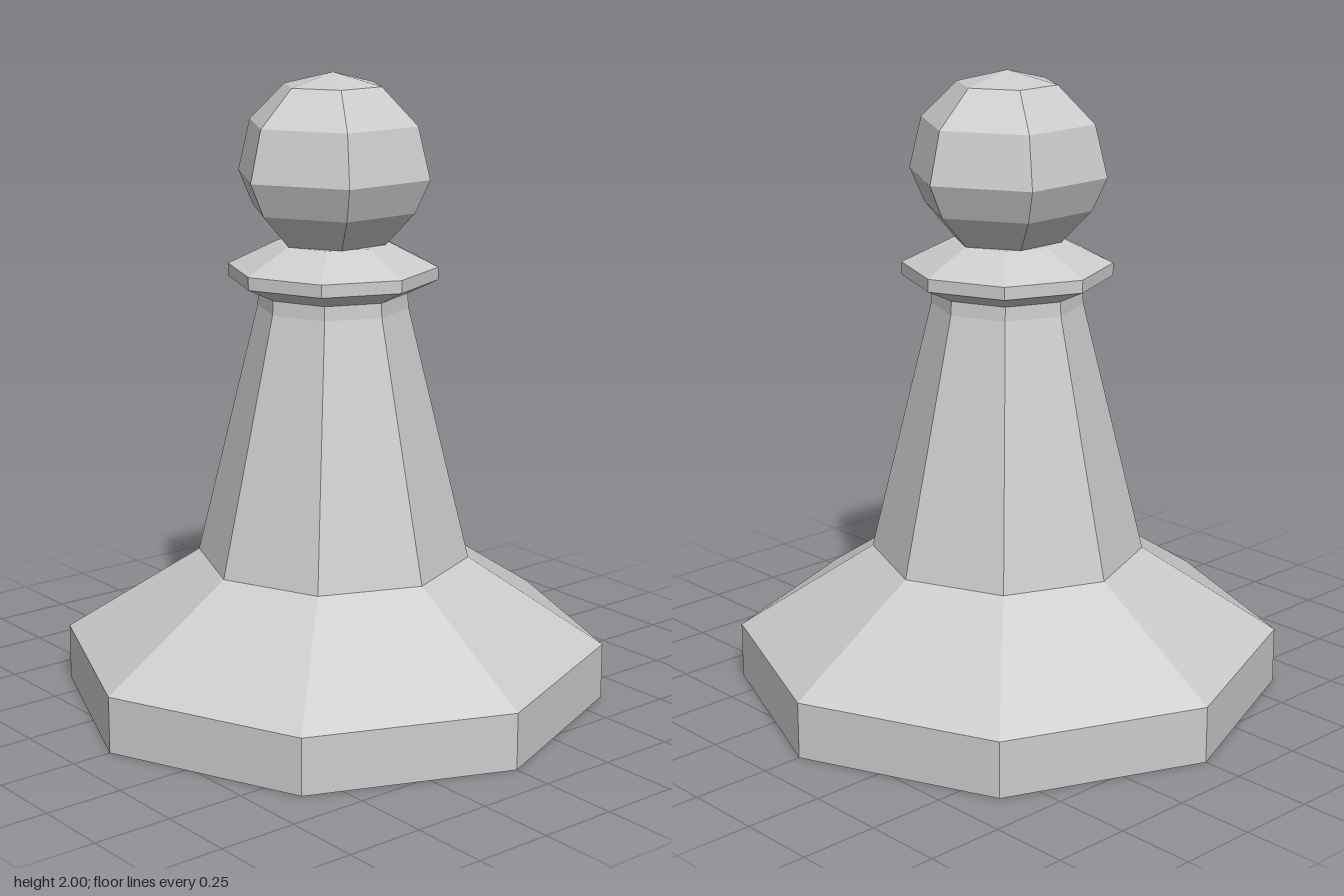
import * as THREE from 'three';

export function createModel() {
  const model = new THREE.Group();
  model.name = 'pawn';
  const stone = new THREE.MeshStandardMaterial({ color: 0xcccccc, flatShading: true });
  stone.name = 'light grey';

  // Faceted turned part from [radius, height] pairs, bottom to top, with a corner on the x axis
  function turned(name, sides, profile) {
    const points = profile.map(([r, y]) => new THREE.Vector2(r, y));
    const mesh = new THREE.Mesh(new THREE.LatheGeometry(points, sides, Math.PI / 2), stone);
    mesh.name = name;
    model.add(mesh);
  }

  // Octagonal foot with sloped shoulder
  turned('base', 8, [[0, 0], [0.87, 0], [0.87, 0.18], [0.435, 0.46]]);

  // Tapering shaft ending in a short straight neck
  turned('shaft', 8, [[0.435, 0.46], [0.238, 1.27], [0.235, 1.315]]);

  // Collar ring under the head
  turned('collar', 8, [[0.235, 1.315], [0.33, 1.36], [0.33, 1.4], [0.178, 1.475], [0, 1.475]]);

  // Six-sided ball, its lower end meeting the collar
  turned('head', 6, [[0.175, 1.475], [0.27, 1.578], [0.318, 1.683],
    [0.278, 1.845], [0.16, 1.96], [0, 2]]);

  return model;
}
